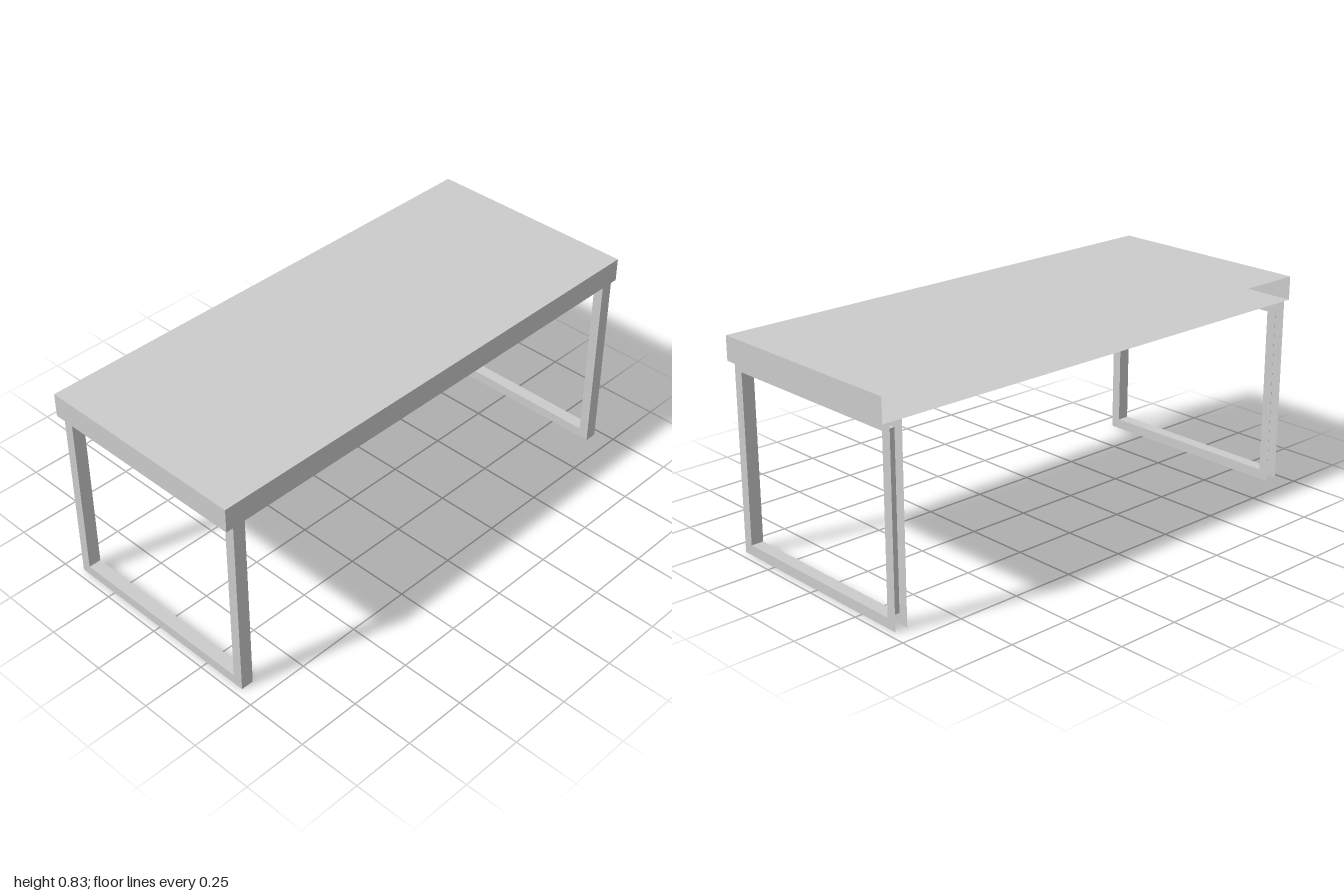
import * as THREE from 'three';

const material = new THREE.MeshStandardMaterial({ color: 0xcccccc, side: THREE.DoubleSide });

// Overall sizes
const HALF_DEPTH = 0.427, TOP_Y = 0.827, UNDER_Y = 0.734;
const LEG_X = 0.946, LEG_WIDTH = 0.05, BAR = 0.039;

function add(group, name, geometry, x = 0, y = 0, z = 0) {
  const mesh = new THREE.Mesh(geometry, material);
  mesh.name = name;
  mesh.position.set(x, y, z);
  group.add(mesh);
  return mesh;
}

// Box keeping only the listed sides (0..5 = +x, -x, +y, -y, +z, -z)
function openBox(w, h, d, sides) {
  const box = new THREE.BoxGeometry(w, h, d);
  const index = Array.from(box.index.array);
  box.setIndex(sides.flatMap((s) => index.slice(s * 6, s * 6 + 6)));
  box.clearGroups();
  return box;
}

// Hollow sled leg: two rectangular ring panels, inner lining and front strip
function createLeg(name, x) {
  const leg = new THREE.Group();
  leg.name = name;
  leg.position.x = x;

  const zi = HALF_DEPTH - BAR, y0 = BAR, y1 = UNDER_Y - BAR;
  const ring = new THREE.Shape([
    new THREE.Vector2(-HALF_DEPTH, 0), new THREE.Vector2(HALF_DEPTH, 0),
    new THREE.Vector2(HALF_DEPTH, UNDER_Y), new THREE.Vector2(-HALF_DEPTH, UNDER_Y),
  ]);
  ring.holes.push(new THREE.Path([
    new THREE.Vector2(-zi, y0), new THREE.Vector2(-zi, y1),
    new THREE.Vector2(zi, y1), new THREE.Vector2(zi, y0),
  ]));
  for (const side of [-1, 1]) {
    const panel = add(leg, 'legRingPanel', new THREE.ShapeGeometry(ring), side * LEG_WIDTH / 2);
    panel.rotation.y = side * Math.PI / 2;
  }

  // Lining of the opening; the outer back and underside stay open
  add(leg, 'legInnerLining', openBox(LEG_WIDTH, y1 - y0, 2 * zi, [2, 3, 4, 5]), 0, (y0 + y1) / 2);
  add(leg, 'legFrontStrip', new THREE.PlaneGeometry(LEG_WIDTH, UNDER_Y), 0, UNDER_Y / 2, HALF_DEPTH);
  return leg;
}

export function createModel() {
  const table = new THREE.Group();
  table.name = 'table';

  // Hollow tabletop, open along the back
  const thickness = TOP_Y - UNDER_Y;
  add(table, 'tabletop', openBox(2, thickness, 2 * HALF_DEPTH, [0, 1, 2, 3, 4]), 0, UNDER_Y + thickness / 2);

  table.add(createLeg('leftLegFrame', LEG_X), createLeg('rightLegFrame', -LEG_X));
  return table;
}
